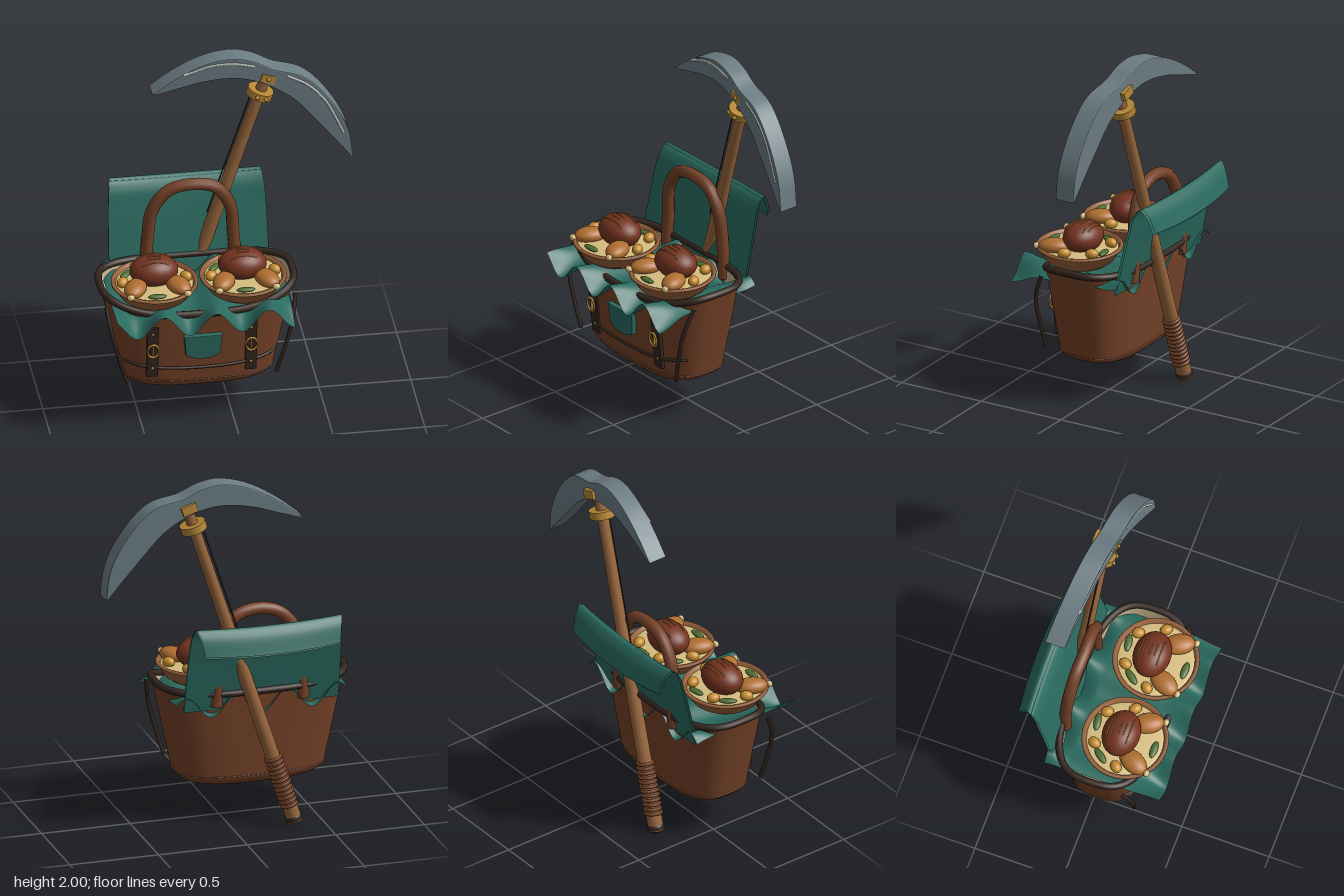
import * as THREE from 'three';
import { ParametricGeometry } from 'three/addons/geometries/ParametricGeometry.js';

const V = (x, y, z) => new THREE.Vector3(x, y, z);
const mat = (color, side = THREE.FrontSide) => new THREE.MeshStandardMaterial({ color, side });
const M = {
  leather: mat(0x754228), dark: mat(0x33251e), wood: mat(0x96653c), steel: mat(0x6c7d84),
  shine: mat(0xb4bcb6), gold: mat(0xb58836), bowl: mat(0x96603a), mash: mat(0xd6bd80),
  meat: mat(0x74331f), roast: mat(0xb06f30), yellow: mat(0xc88f30), green: mat(0x4a6b30),
  cloth: mat(0x2a6a5f, THREE.DoubleSide), lining: mat(0xc2b08a, THREE.DoubleSide),
};
const ball = new THREE.SphereGeometry(1, 28, 18);

function add(parent, name, geo, material, pos = [0, 0, 0], rot = [0, 0, 0], scale = [1, 1, 1]) {
  const m = new THREE.Mesh(geo, material);
  m.name = name;
  m.position.set(...pos);
  m.rotation.set(...rot);
  m.scale.set(...scale);
  parent.add(m);
  return m;
}
const tube = (pts, r, n = 40, closed = false) =>
  new THREE.TubeGeometry(new THREE.CatmullRomCurve3(pts, closed), n, r, 10, closed);
const sheet = (fn, nu, nv) => new ParametricGeometry((u, v, p) => p.copy(fn(u, v)), nu, nv);

// Basket outline: rounded rectangle that widens towards a wavy rim
const CX = -0.175, CZ = 0.045, POW = 3;
const rimY = t => 0.79 - (Math.sin(t) < 0 ? 0.085 : 0.02) * Math.sin(t) ** 2;
const power = c => Math.sign(c) * Math.abs(c) ** (2 / POW);
function ring(t, y, scale = 1) {
  const s = Math.max(0, (y - 0.27) / 0.5);
  return V(CX + (0.415 + 0.105 * s) * scale * power(Math.cos(t)), y,
    CZ - (0.215 + 0.05 * s) * scale * power(Math.sin(t)));
}
function frontZ(x, y) {
  const s = (y - 0.27) / 0.5;
  const q = Math.min(1, Math.abs((x - CX) / (0.415 + 0.105 * s)));
  return CZ + (0.215 + 0.05 * s) * (1 - q ** POW) ** (1 / POW);
}

function basket() {
  const g = new THREE.Group();
  g.name = 'basket';
  add(g, 'basketBody', sheet((u, v) => {
    const t = u * Math.PI * 2;
    if (v < 0.3) {
      const a = 0.02 + (v / 0.3) * (Math.PI / 2 - 0.02);
      return ring(t, 0.27 - 0.09 * Math.cos(a), Math.sin(a));
    }
    return ring(t, 0.27 + (rimY(t) - 0.27) * (v - 0.3) / 0.7);
  }, 96, 40), M.leather);
  add(g, 'lining', sheet((u, v) => {
    const t = u * Math.PI * 2;
    return v < 0.3 ? ring(t, 0.6, 0.01 + 0.96 * v / 0.3) : ring(t, 0.6 + (rimY(t) - 0.6) * (v - 0.3) / 0.7, 0.97);
  }, 96, 20), M.lining);
  const loop = (n, fn) => Array.from({ length: n }, (_, i) => fn(i / n * Math.PI * 2));
  add(g, 'rim', tube(loop(64, t => ring(t, rimY(t), 1.0)), 0.02, 128, true), M.dark);
  add(g, 'baseSeam', tube(loop(64, t => ring(t, 0.27, 1.0)), 0.005, 128, true), M.leather);

  // Carrying handle at the back edge
  add(g, 'basketHandle', tube([V(-0.41, 0.7, -0.2), V(-0.4, 0.9, -0.2), V(-0.375, 1.08, -0.19), V(-0.29, 1.195, -0.185),
    V(-0.16, 1.228, -0.18), V(-0.03, 1.195, -0.185), V(0.045, 1.08, -0.19), V(0.065, 0.9, -0.2), V(0.08, 0.7, -0.2)],
    0.034, 60), M.leather);

  // Front straps with ring buckles and rivets
  for (const x of [-0.445, 0.09]) {
    add(g, 'frontStrap', new THREE.BoxGeometry(0.062, 0.32, 0.02), M.dark,
      [x, 0.47, frontZ(x, 0.47) + 0.006], [0.1, 0, 0]);
    add(g, 'buckleRing', new THREE.TorusGeometry(0.034, 0.006, 8, 28), M.gold,
      [x, 0.49, frontZ(x, 0.49) + 0.034], [0.1, 0, 0], [0.9, 1.2, 1]);
    add(g, 'bucklePin', new THREE.BoxGeometry(0.008, 0.07, 0.02), M.gold, [x, 0.49, frontZ(x, 0.49) + 0.024]);
    for (const y of [0.365, 0.59])
      add(g, 'rivet', ball, M.gold, [x, y, frontZ(x, y) + 0.018], [0, 0, 0], [0.008, 0.008, 0.006]);
  }
  const cord = Array.from({ length: 25 }, (_, i) => {
    const x = -0.585 + i * 0.82 / 24;
    return V(x, 0.355 + 0.15 * (x - CX) ** 2, frontZ(x, 0.36) + 0.008);
  });
  add(g, 'frontCord', tube(cord, 0.008, 60), M.dark);

  // Side straps hanging off the front corners
  for (const s of [-1, 1])
    add(g, 'sideStrap', tube([V(CX + s * 0.515, 0.74, 0.22), V(CX + s * 0.49, 0.6, 0.27),
      V(CX + s * 0.45, 0.44, 0.27), V(CX + s * 0.405, 0.28, 0.255)], 0.011, 24), M.dark);

  // Cloth pocket patch
  const p = new THREE.Shape();
  p.moveTo(-0.1, 0.07);
  p.lineTo(0.1, 0.07);
  p.lineTo(0.09, -0.045);
  p.quadraticCurveTo(0, -0.1, -0.09, -0.045);
  p.closePath();
  add(g, 'pocketPatch', new THREE.ExtrudeGeometry(p, { depth: 0.022, bevelSize: 0.004, bevelThickness: 0.004, bevelSegments: 2 }),
    M.cloth, [CX, 0.5, 0.285], [0.1, 0, 0]);
  return g;
}

function cloths() {
  const g = new THREE.Group();
  g.name = 'cloths';
  add(g, 'drapedCloth', sheet((u, v) => {
    const x = -0.66 + 0.97 * u, z = -0.23 + 0.66 * v;
    const e = THREE.MathUtils.smoothstep(z, 0.25, 0.43) + THREE.MathUtils.smoothstep(-z, 0.1, 0.23);
    return V(x, 0.725 - 0.015 * e + (0.022 + 0.038 * e) * Math.sin(22 * x + 3 * z + 2.9), z);
  }, 90, 40), M.cloth);
  // Open lid flap, rolled over at the top
  const profile = new THREE.CatmullRomCurve3([V(0, 0.68, -0.2), V(0, 0.85, -0.235), V(0, 1.05, -0.28),
    V(0, 1.16, -0.31), V(0, 1.205, -0.345), V(0, 1.17, -0.38), V(0, 1.07, -0.415)]);
  for (const off of [0, 0.014])
    add(g, 'lidFlap', sheet((u, v) => {
      const p = profile.getPoint(v), s = 2 * u - 1;
      return V(CX + s * (0.435 - 0.055 * v * v), p.y - 0.015 * v * (1 - s * s) - off * v, p.z - 0.025 * v * (1 - s * s) + off);
    }, 30, 40), M.cloth);
  return g;
}

function mealBowl(x) {
  const g = new THREE.Group();
  g.name = 'mealBowl';
  g.position.set(x, 0, 0.145);
  const profile = [[0.001, 0.74], [0.15, 0.74], [0.185, 0.765], [0.225, 0.825], [0.235, 0.832], [0.235, 0.84],
    [0.228, 0.845], [0.214, 0.842], [0.205, 0.82]].map(p => new THREE.Vector2(...p));
  add(g, 'bowl', new THREE.LatheGeometry(profile, 56), M.bowl);
  add(g, 'mash', ball, M.mash, [0, 0.825, 0], [0, 0, 0], [0.212, 0.012, 0.212]);
  add(g, 'roastMeat', ball, M.meat, [0, 0.892, -0.022], [0, 0, 0], [0.132, 0.085, 0.103]);
  // Thin scored strips across the meat
  for (const [d, w] of [[-0.065, 0.06], [-0.045, 0.085], [-0.005, 0.035], [0.022, 0.035], [0.05, 0.075]]) {
    const pts = [-1, -0.5, 0, 0.5, 1].map(k =>
      V(k * w, 0.894 + 0.085 * Math.sqrt(1 - (d / 0.103) ** 2 - (k * w / 0.132) ** 2), d - 0.022));
    add(g, 'scoreMark', tube(pts, 0.0035, 16), M.roast);
  }
  // Drumsticks with bone ends
  for (const s of [-1, 1]) {
    add(g, 'drumstick', ball, M.roast, [s * 0.117, 0.853, 0.088], [0, s * 0.45, 0], [0.058, 0.042, 0.088]);
    add(g, 'bone', new THREE.CylinderGeometry(0.013, 0.013, 0.07, 12), M.mash, [s * 0.145, 0.85, 0.155], [Math.PI / 2, 0, -s * 0.45]);
    add(g, 'boneEnd', ball, M.mash, [s * 0.155, 0.85, 0.178], [0, 0, 0], [0.021, 0.018, 0.016]);
  }
  // Vegetables around the edge
  for (const [px, pz] of [[-0.085, -0.145], [0.105, -0.14], [0.172, -0.005], [-0.175, 0.01]])
    add(g, 'potato', ball, M.yellow, [px, 0.85, pz], [0, px * 4, 0], [0.029, 0.028, 0.036]);
  for (const [px, pz, a] of [[0.035, -0.172, 0.15], [-0.142, -0.09, 0.9], [-0.01, 0.168, 0]])
    add(g, 'leaf', ball, M.green, [px, 0.84, pz], [0, a, 0], [0.05, 0.012, 0.02]);
  return g;
}

function pickaxe() {
  const g = new THREE.Group();
  g.name = 'pickaxe';
  // Shaft group runs along local y from the foot
  const foot = V(-0.343, 0.02, -0.265), top = V(0.255, 1.885, -0.208);
  const dir = top.clone().sub(foot), L = dir.length();
  const s = new THREE.Group();
  s.name = 'shaft';
  s.position.copy(foot);
  s.quaternion.setFromUnitVectors(V(0, 1, 0), dir.normalize());
  g.add(s);
  add(s, 'woodenShaft', new THREE.CylinderGeometry(0.03, 0.042, L, 24), M.wood, [0, L / 2, 0]);
  add(s, 'endKnob', ball, M.dark, [0, 0.02, 0], [0, 0, 0], [0.046, 0.035, 0.046]);
  for (let i = 0; i < 12; i++)
    add(s, 'gripCoil', new THREE.TorusGeometry(0.043, 0.009, 8, 24), M.leather, [0, 0.1 + i * 0.026, 0], [Math.PI / 2 + 0.08, 0, 0]);
  add(s, 'collar', new THREE.CylinderGeometry(0.072, 0.072, 0.042, 28), M.gold, [0, L - 0.14, 0]);
  for (const k of [-1, 1])
    add(s, 'collarStud', ball, M.gold, [k * 0.025, L - 0.14, 0.07], [0, 0, 0], [0.012, 0.012, 0.01]);
  add(s, 'headWedge', new THREE.BoxGeometry(0.085, 0.05, 0.14), M.gold, [0, L - 0.015, 0]);
  add(s, 'wedgeStud', ball, M.gold, [0, L - 0.015, 0.07], [0, 0, 0], [0.012, 0.012, 0.01]);
  add(s, 'cord', new THREE.CylinderGeometry(0.004, 0.004, 0.75, 6), M.dark, [-0.048, L - 0.55, 0.01]);

  // Curved head, sheared so it runs slightly forward towards its left tip
  const upper = [[-0.37, 1.78], [-0.25, 1.875], [-0.1, 1.96], [0.05, 1.998], [0.17, 1.98], [0.28, 1.928],
    [0.42, 1.89], [0.52, 1.81], [0.62, 1.67], [0.68, 1.53], [0.7, 1.375]];
  const lower = [[0.6, 1.49], [0.5, 1.61], [0.4, 1.725], [0.3, 1.8], [0.18, 1.855], [0.05, 1.875], [-0.1, 1.855], [-0.25, 1.81]];
  const vec = a => a.map(p => new THREE.Vector2(...p));
  const shape = new THREE.Shape();
  shape.moveTo(...upper[0]);
  shape.splineThru(vec(upper.slice(1)));
  shape.splineThru(vec([...lower, upper[0]]));
  const geo = new THREE.ExtrudeGeometry(shape, { depth: 0.1, curveSegments: 40, bevelSize: 0.006, bevelOffset: -0.006,
    bevelThickness: 0.007, bevelSegments: 2 });
  const headZ = x => -0.275 + (x + 0.37) * 0.121;
  const p = geo.attributes.position;
  for (let i = 0; i < p.count; i++) p.setZ(i, p.getZ(i) - 0.05 + headZ(p.getX(i)));
  geo.computeVertexNormals();
  add(g, 'pickHead', geo, M.steel);
  // Bright worn streaks on the front face
  for (const line of [[[-0.2, 1.9], [-0.06, 1.955], [0.06, 1.968], [0.18, 1.95]],
    [[0.35, 1.89], [0.46, 1.83], [0.55, 1.735], [0.61, 1.62], [0.65, 1.53]]])
    add(g, 'wornEdge', tube(line.map(([x, y]) => V(x, y, headZ(x) + 0.055)), 0.008, 30), M.shine);
  return g;
}

export function createModel() {
  const model = new THREE.Group();
  model.name = 'picnicBasketWithPickaxe';
  model.add(basket(), cloths(), mealBowl(-0.415), mealBowl(0.066), pickaxe());
  return model;
}
